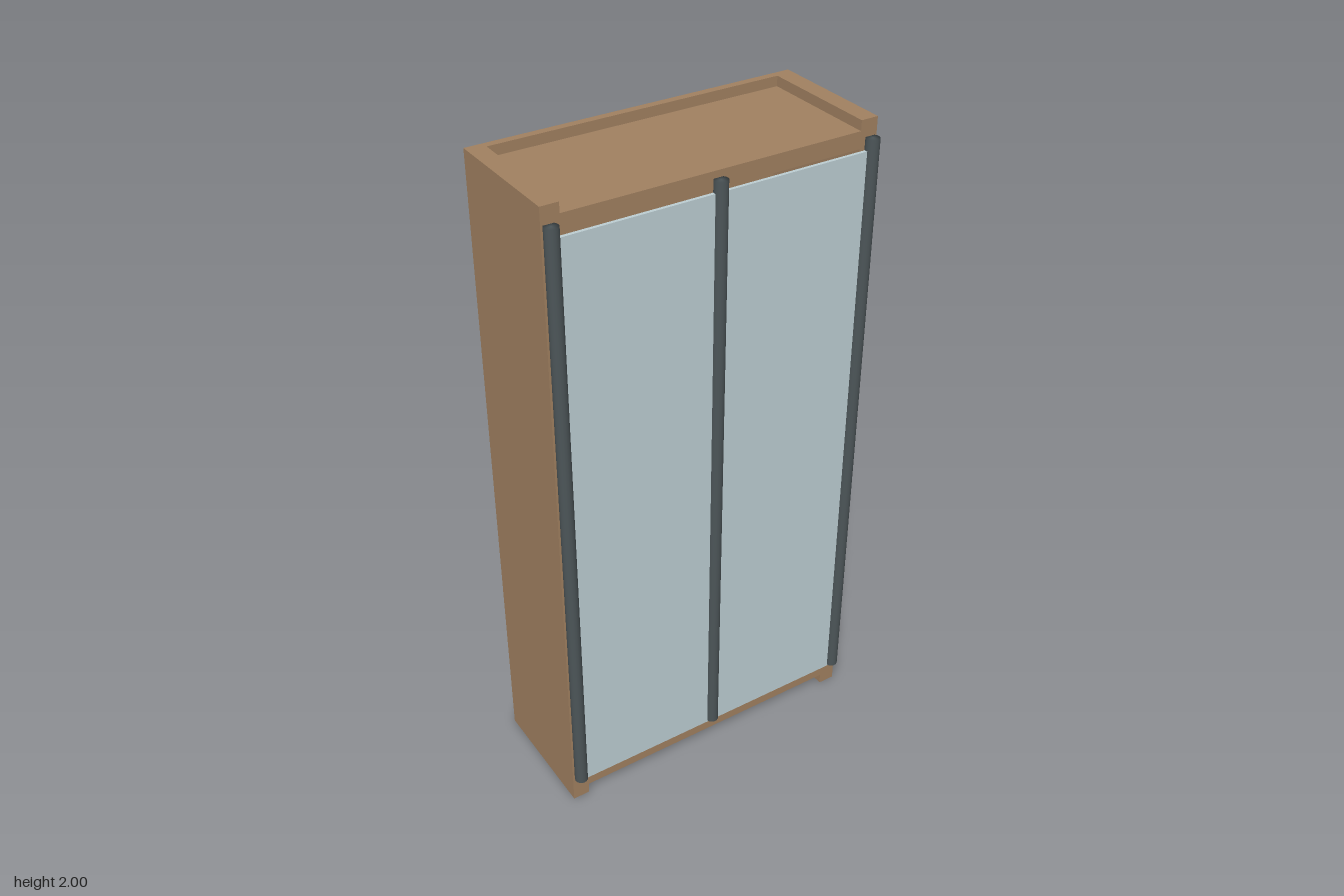
import * as THREE from 'three';

export function createModel() {
  const model = new THREE.Group();
  model.name = 'wardrobe';

  const material = (name, color) => {
    const m = new THREE.MeshStandardMaterial({ color });
    m.name = name;
    return m;
  };
  const wood = material('brown wood', 0xa08060);
  const glass = material('pale blue glass', 0xbccdd2);
  const metal = material('dark grey metal', 0x4c5558);

  // Box given by its lower and upper limits on each axis
  const box = (name, mat, [x0, x1], [y0, y1], [z0, z1]) => {
    const mesh = new THREE.Mesh(new THREE.BoxGeometry(x1 - x0, y1 - y0, z1 - z0), mat);
    mesh.position.set((x0 + x1) / 2, (y0 + y1) / 2, (z0 + z1) / 2);
    mesh.name = name;
    model.add(mesh);
  };

  const back = -0.215, front = 0.182, inner = 0.447, backInner = -0.192;

  // Carcass: full-height sides and back, with recessed top and base
  box('leftSide', wood, [inner, 0.5], [0, 2], [backInner, front]);
  box('rightSide', wood, [-0.5, -inner], [0, 2], [backInner, front]);
  box('backPanel', wood, [-0.5, 0.5], [0, 2], [back, backInner]);
  box('topPanel', wood, [-inner, inner], [1.92, 1.97], [backInner, front]);
  box('basePanel', wood, [-inner, inner], [0.035, 0.085], [backInner, front]);

  // Two glass doors meeting behind the middle rail
  box('leftDoor', glass, [0, 0.478], [0.085, 1.917], [0.189, 0.199]);
  box('rightDoor', glass, [-0.478, 0], [0.085, 1.917], [0.189, 0.199]);

  // Round rails with softly shaded ends
  const r = 0.02;
  const profile = [[0, 0.09], [r, 0.09], [r, 1.95], [0, 1.95]].map(([x, y]) => new THREE.Vector2(x, y));
  const railGeometry = new THREE.LatheGeometry(profile, 16);
  [['rightRail', -0.478], ['middleRail', 0], ['leftRail', 0.478]].forEach(([name, x]) => {
    const rail = new THREE.Mesh(railGeometry, metal);
    rail.position.set(x, 0, 0.195);
    rail.name = name;
    model.add(rail);
  });

  return model;
}
